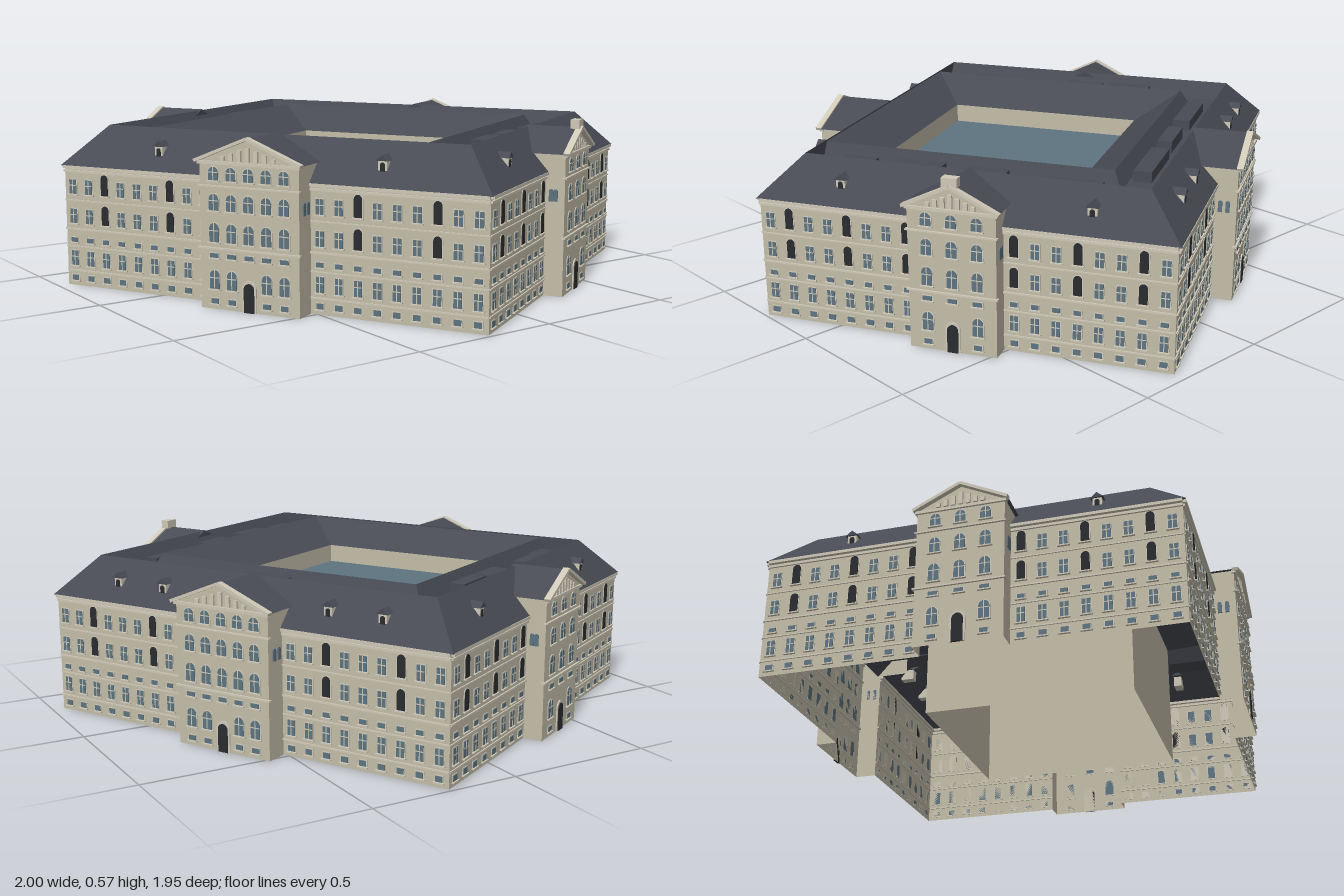
import * as THREE from 'three';
import { mergeGeometries } from 'three/addons/utils/BufferGeometryUtils.js';

const mat = (color) => new THREE.MeshStandardMaterial({ color, flatShading: true, side: THREE.DoubleSide });
const STONE = mat(0xc4bda9), TRIM = mat(0xcfc9b8), ROOF = mat(0x484b54);
const GLASS = mat(0x5d7480), DARK = mat(0x2a2c30);

const EAVE = 0.41, RIDGE = 0.54, PAV_TOP = 0.47;
const COURT = { x: 0.34, back: -0.28, front: 0.43 };

function mesh(name, geos, material) {
  const list = [].concat(geos).map((g) => (g.index ? g.toNonIndexed() : g));
  const m = new THREE.Mesh(mergeGeometries(list), material);
  m.name = name;
  return m;
}

const box = (w, h, d, x, y, z) => new THREE.BoxGeometry(w, h, d).translate(x, y, z);

// Strips of quads joining successive loops of [x, y, z] points
function loft(rows, closed) {
  const pos = [];
  for (let r = 0; r + 1 < rows.length; r++) {
    const a = rows[r], b = rows[r + 1], n = a.length;
    for (let i = 0; i < (closed ? n : n - 1); i++) {
      const j = (i + 1) % n;
      pos.push(...a[i], ...a[j], ...b[j], ...a[i], ...b[j], ...b[i]);
    }
  }
  const g = new THREE.BufferGeometry();
  g.setAttribute('position', new THREE.Float32BufferAttribute(pos, 3));
  g.setAttribute('uv', new THREE.Float32BufferAttribute(new Float32Array(pos.length / 3 * 2), 2));
  g.computeVertexNormals();
  return g;
}

const wall = (pts, y0, y1, closed = false) =>
  loft([y0, y1].map((y) => pts.map(([x, z]) => [x, y, z])), closed);

const rect = (x, zb, zf, y) => [[-x, y, zf], [x, y, zf], [x, y, zb], [-x, y, zb]];

// Upright opening with an optional round head, foot at y
function opening(w, h, arched, x, y, z, depth) {
  const s = new THREE.Shape(), r = w / 2;
  s.moveTo(-r, 0);
  s.lineTo(r, 0);
  if (arched) {
    s.lineTo(r, h - r);
    s.absarc(0, h - r, r, 0, Math.PI, false);
  } else {
    s.lineTo(r, h);
    s.lineTo(-r, h);
  }
  return new THREE.ExtrudeGeometry(s, { depth, bevelEnabled: false, curveSegments: 5 }).translate(x, y, z);
}

// Triangular prism with its base at y
function gable(half, rise, y, z0, z1) {
  const s = new THREE.Shape([[-half, 0], [half, 0], [0, rise]].map(([a, b]) => new THREE.Vector2(a, b)));
  return new THREE.ExtrudeGeometry(s, { depth: z1 - z0, bevelEnabled: false }).translate(0, y, z0);
}

// One side of the building: wings either side of a gabled pavilion
function facade(name, { L, D, P, w, cols, darkCols, dormers, finial }) {
  const g = new THREE.Group();
  g.name = name;
  const panes = [], trims = [], darks = [];

  function windowAt(x, y, z, ww, h, arched, dark) {
    trims.push(opening(ww + 0.006, h + 0.004, arched, x, y - 0.001, z, 0.002));
    (dark ? darks : panes).push(opening(ww, h, arched, x, y, z, 0.004));
    trims.push(box(ww + 0.012, 0.004, 0.01, x, y - 0.003, z + 0.003));
    if (!dark && h > 0.03) {
      trims.push(box(0.003, h, 0.002, x, y + h / 2, z + 0.004));
      trims.push(box(ww, 0.003, 0.002, x, y + h * 0.6, z + 0.004));
    }
  }

  // Wing windows: basement, ground floor, mezzanine and two tall floors
  const step = (L - w) / cols;
  for (const side of [-1, 1]) {
    for (let i = 0; i < cols; i++) {
      const x = side * (w + (i + 0.5) * step), dark = darkCols.includes(i);
      windowAt(x, 0.018, D, 0.024, 0.018, false, false);
      windowAt(x, 0.07, D, 0.026, 0.05, false, false);
      windowAt(x, 0.15, D, 0.024, 0.015, false, false);
      windowAt(x, 0.215, D, 0.027, dark ? 0.065 : 0.048, dark, dark);
      windowAt(x, 0.315, D, 0.027, dark ? 0.07 : 0.048, dark, dark);
    }
    // String courses and cornice of the wing
    const mid = side * (L + w) / 2;
    for (const [y, h, d] of [[0.052, 0.005, 0.008], [0.135, 0.004, 0.008], [0.195, 0.006, 0.01], [0.293, 0.004, 0.008], [0.392, 0.008, 0.012], [0.406, 0.01, 0.022]])
      trims.push(box(L - w, h, d, mid, y, D));
  }

  // Pavilion windows and doorway
  const n = w > 0.16 ? 5 : 3, ps = (2 * w - 0.04) / n;
  for (let i = 0; i < n; i++) {
    const x = (i - (n - 1) / 2) * ps;
    windowAt(x, 0.41, P, 0.034, 0.042, true, false);
    windowAt(x, 0.315, P, 0.034, 0.052, true, false);
    windowAt(x, 0.215, P, 0.034, 0.06, true, false);
    windowAt(x, 0.165, P, 0.03, 0.014, false, false);
    if (i !== (n - 1) / 2) {
      windowAt(x, 0.065, P, 0.034, 0.06, true, false);
      windowAt(x, 0.018, P, 0.026, 0.016, false, false);
    }
  }
  trims.push(opening(0.05, 0.102, true, 0, 0, P, 0.004));
  darks.push(opening(0.036, 0.093, true, 0, 0, P, 0.007));
  for (const [y, h] of [[0.195, 0.006], [0.392, 0.005], [PAV_TOP - 0.005, 0.01]])
    trims.push(box(2 * w + 0.012, h, 0.014, 0, y, P));

  // Pediment: raking cornices, ornament and dentils
  const rise = RIDGE + 0.005 - PAV_TOP, half = w + 0.012, ang = Math.atan2(rise, half);
  for (const s of [-1, 1]) {
    trims.push(new THREE.BoxGeometry(Math.hypot(half, rise), 0.01, 0.022)
      .rotateZ(-s * ang).translate(s * half / 2, PAV_TOP + rise / 2, P + 0.006));
    for (const z of [P - 0.03, D + 0.02])
      panes.push(opening(0.014, 0.04, true, 0, 0, 0, 0.004).rotateY(s * Math.PI / 2).translate(s * w, 0.315, z));
  }
  for (let i = -3; i <= 3; i++) {
    const h = 0.044 - Math.abs(i) * 0.01;
    trims.push(box(0.014, h, 0.008, i * w * 0.17, PAV_TOP + h / 2 + 0.003, P + 0.004));
  }
  if (finial) trims.push(box(0.05, 0.03, 0.03, 0, RIDGE + 0.016, P - 0.005));

  // Dormers on the outer slope
  const dormerRoof = [];
  for (const x of dormers) {
    const z = D - 0.035;
    trims.push(box(0.03, 0.04, 0.05, x, 0.467, z - 0.025));
    darks.push(opening(0.016, 0.028, true, x, 0.454, z, 0.002));
    dormerRoof.push(gable(0.021, 0.018, 0.487, z - 0.065, z + 0.005).translate(x, 0, 0));
  }

  g.add(mesh('outerWall', [
    wall([[-L, D], [-w, D], [-w, P], [w, P], [w, D], [L, D]], 0, EAVE),
    wall([[-w, D - 0.11], [-w, P], [w, P], [w, D - 0.11]], EAVE, PAV_TOP),
  ], STONE));
  g.add(mesh('pediment', gable(w, rise - 0.004, PAV_TOP, P - 0.005, P), STONE));
  g.add(mesh('pavilionRoof', [gable(half, rise, PAV_TOP, D - 0.115, P - 0.005), ...dormerRoof], ROOF));
  g.add(mesh('windowPanes', panes, GLASS));
  g.add(mesh('stoneTrim', trims, TRIM));
  g.add(mesh('darkOpenings', darks, DARK));
  return g;
}

export function createModel() {
  const model = new THREE.Group();
  model.name = 'courtyardBuilding';
  const building = new THREE.Group();
  building.name = 'building';
  building.rotation.y = 0.501;
  model.add(building);

  // Four facades
  const long = { L: 0.755, D: 0.68, P: 0.755, w: 0.175, cols: 9, darkCols: [2, 6] };
  const short = { L: 0.68, D: 0.755, P: 0.82, w: 0.143, cols: 8, darkCols: [0, 3, 6] };
  [
    ['frontFacade', { ...long, dormers: [-0.4, 0.4] }],
    ['leftFacade', { ...short, dormers: [-0.41, 0.41], finial: true }],
    ['backFacade', { ...long, dormers: [-0.51, -0.32, 0.32, 0.51] }],
    ['rightFacade', { ...short, dormers: [-0.41, 0.41] }],
  ].forEach(([name, spec], i) => {
    const f = facade(name, spec);
    f.rotation.y = i * Math.PI / 2;
    building.add(f);
  });

  // Roof ring: outer slope, hidden gutter on three sides, slope to the court
  building.add(mesh('mainRoof', loft([
    rect(0.765, -0.69, 0.69, EAVE),
    rect(0.65, -0.57, 0.565, RIDGE),
    rect(0.615, -0.535, 0.565, 0.48),
    rect(0.53, -0.45, 0.565, 0.48),
    rect(0.5, -0.42, 0.565, RIDGE - 0.005),
    rect(COURT.x, COURT.back, COURT.front, 0.45),
  ], true), ROOF));

  // Low lean-to roofs and plant along the gutter
  const lumps = [];
  for (const s of [-1, 1]) {
    [[-0.3, 0.2], [-0.02, 0.14], [0.2, 0.16], [0.42, 0.12]].forEach(([z, len], i) =>
      lumps.push(box(0.05 + 0.015 * (i % 2), 0.03 + 0.01 * (i % 3), len, s * 0.572, 0.495, z * (i % 2 ? 1 : s))));
    lumps.push(box(0.26, 0.04, 0.06, s * 0.3, 0.495, -0.492));
  }
  lumps.push(box(0.18, 0.05, 0.05, 0.02, 0.495, -0.492));
  building.add(mesh('gutterRoofs', lumps, ROOF));

  // Court walls and glazed court roof
  const { x, back, front } = COURT;
  building.add(mesh('courtWall', wall([[-x, front], [x, front], [x, back], [-x, back]], 0, 0.45, true), STONE));
  building.add(mesh('courtGlassRoof',
    new THREE.PlaneGeometry(2 * x, front - back).rotateX(-Math.PI / 2).translate(0, 0.385, (front + back) / 2), GLASS));

  return model;
}
